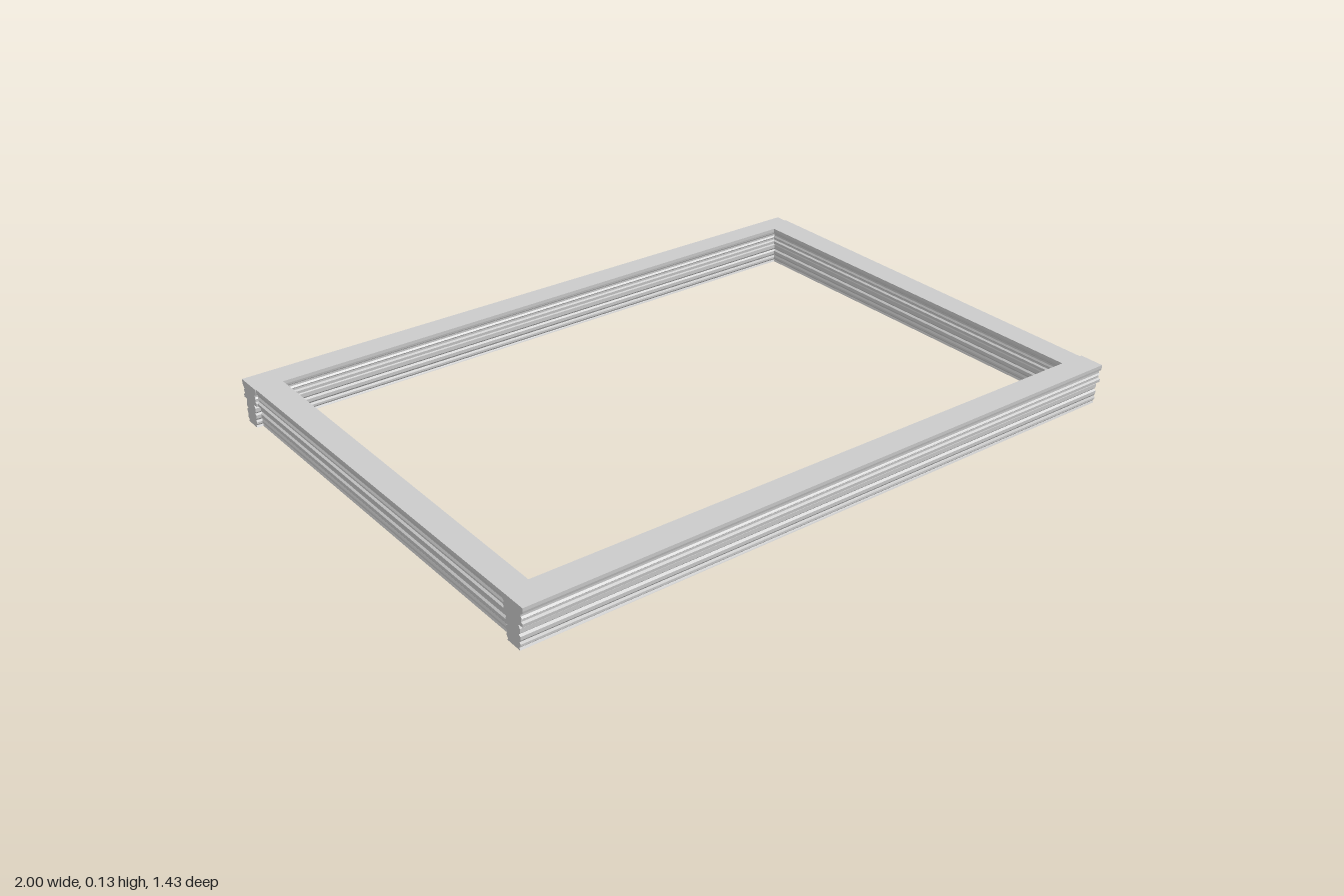
import * as THREE from 'three';

// Moulding cross-section of one side: [inset from the edge (share of width), height]
const SIDE = [
  [0.20, 0], [0.24, 0.006], [0.17, 0.012], [0.17, 0.018], [0.21, 0.024], [0.16, 0.03],
  [0.16, 0.04], [0.24, 0.044], [0.17, 0.05], [0.17, 0.062], [0.24, 0.072],
  [0.03, 0.073], [0.02, 0.082], [0.10, 0.085], [0.10, 0.091], [0.05, 0.095],
  [0.10, 0.100], [0.10, 0.106], [0.02, 0.111], [0, 0.118], [0, 0.128],
];

// Beam between two ends; each end gives its inner and outer [x, z] corners
function beam(name, material, start, end) {
  const right = SIDE.map(([u, y]) => new THREE.Vector2(1 - u, y));
  const left = SIDE.map(([u, y]) => new THREE.Vector2(u, y)).reverse();
  const shape = new THREE.Shape([...right, ...left]);
  const geo = new THREE.ExtrudeGeometry(shape, { depth: 1, bevelEnabled: false, steps: 1 });
  const p = geo.attributes.position;
  const mix = THREE.MathUtils.lerp;
  for (let i = 0; i < p.count; i++) {
    const u = p.getX(i), t = p.getZ(i);
    const at = (k) => mix(mix(start.inner[k], start.outer[k], u), mix(end.inner[k], end.outer[k], u), t);
    p.setXYZ(i, at(0), p.getY(i), at(1));
  }
  geo.computeVertexNormals();
  const mesh = new THREE.Mesh(geo, material);
  mesh.name = name;
  return mesh;
}

export function createModel() {
  const group = new THREE.Group();
  group.name = 'corniceFrame';
  const material = new THREE.MeshStandardMaterial({ color: 0xcccccc, flatShading: true });

  // Long beams run the full width
  group.add(beam('frontBeam', material,
    { inner: [1, 0.622], outer: [1, 0.699] },
    { inner: [-0.99, 0.624], outer: [-0.99, 0.715] }));
  group.add(beam('backBeam', material,
    { inner: [-1, -0.636], outer: [-1, -0.72] },
    { inner: [0.983, -0.65], outer: [0.983, -0.72] }));

  // Short beams butt into them
  group.add(beam('leftBeam', material,
    { inner: [-0.914, 0.655], outer: [-0.99, 0.655] },
    { inner: [-0.914, -0.67], outer: [-0.998, -0.67] }));
  group.add(beam('rightBeam', material,
    { inner: [0.906, -0.684], outer: [0.987, -0.684] },
    { inner: [0.918, 0.655], outer: [0.993, 0.655] }));
  return group;
}
